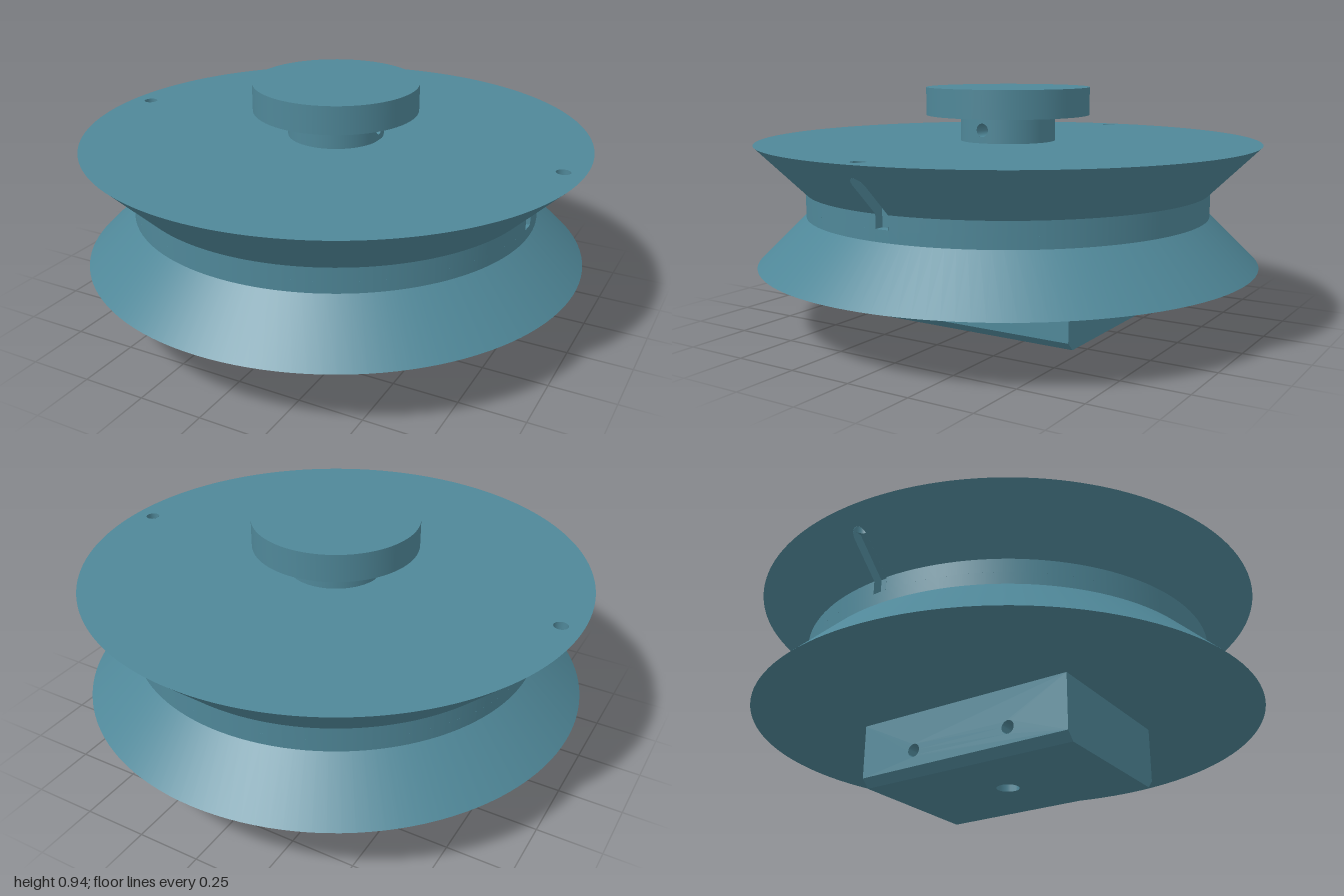
import * as THREE from 'three';
import { toCreasedNormals } from 'three/addons/utils/BufferGeometryUtils.js';

const steel = new THREE.MeshStandardMaterial({ color: 0x4f8798, side: THREE.DoubleSide });
steel.name = 'blue grey metal';

const V2 = (x, y) => new THREE.Vector2(x, y);
const polygon = (pts) => new THREE.Shape(pts.map(([x, y]) => V2(x, y)));
const hole = (x, y, r) => new THREE.Path().absarc(x, y, r, 0, Math.PI * 2, true);

function add(parent, name, geometry, x = 0, y = 0, z = 0) {
  const mesh = new THREE.Mesh(geometry, steel);
  mesh.name = name;
  mesh.position.set(x, y, z);
  parent.add(mesh);
  return mesh;
}

// Round wall between two (radius, height) points, with optional gaps at +x and -x
function wall(parent, name, a, b, gap = 0) {
  const pts = [V2(...a), V2(...b)];
  if (!gap) return add(parent, name, new THREE.LatheGeometry(pts, 128));
  for (const start of [-Math.PI / 2, Math.PI / 2]) {
    add(parent, name, new THREE.LatheGeometry(pts, 64, start + gap, Math.PI - 2 * gap));
  }
}

// Flat outline wrapped onto a round surface facing +x
function patch(shape, radiusAt, slope) {
  const g = new THREE.ShapeGeometry(shape, 24);
  const p = g.attributes.position, n = g.attributes.normal;
  for (let i = 0; i < p.count; i++) {
    const u = p.getX(i), y = p.getY(i), r = radiusAt(y);
    const x = Math.sqrt(r * r - u * u), k = Math.hypot(1, slope);
    p.setXYZ(i, x, y, -u);
    n.setXYZ(i, x / r / k, -slope / k, -u / r / k);
  }
  return g;
}

// Faceted strip following an x/y path, spanning z from -half to half
function strip(path, half) {
  const v = [];
  for (let i = 0; i + 1 < path.length; i++) {
    const [a, b] = [path[i], path[i + 1]];
    v.push(...a, half, ...a, -half, ...b, -half, ...a, half, ...b, -half, ...b, half);
  }
  const g = new THREE.BufferGeometry();
  g.setAttribute('position', new THREE.Float32BufferAttribute(v, 3));
  g.computeVertexNormals();
  return g;
}

// Blind hole opening at y = 0 and running down
function pit(r, depth) {
  const pts = [V2(r, 0), V2(r, -depth), V2(0.0001, -depth)];
  return toCreasedNormals(new THREE.LatheGeometry(pts, 32), 0.6);
}

export function createModel() {
  const model = new THREE.Group();
  model.name = 'groovedPulley';
  const R = 0.0275, HX = 0.92, GROOVE = 0.807;
  const LOW = 0.25, G0 = 0.44, S0 = 0.485, G1 = 0.537, TOP = 0.727;

  // Pulley: two conical flanges around a straight groove
  const gap = Math.asin(R / GROOVE);
  const coneR = (y) => GROOVE + (y - G1) * (1 - GROOVE) / (TOP - G1);
  const coneY = (r) => G1 + (r - GROOVE) * (TOP - G1) / (1 - GROOVE);
  const pulley = new THREE.Group();
  pulley.name = 'pulley';
  model.add(pulley);
  wall(pulley, 'lowerFlange', [1, LOW], [GROOVE, G0]);
  wall(pulley, 'grooveLower', [GROOVE, G0], [GROOVE, S0]);
  wall(pulley, 'grooveUpper', [GROOVE, S0], [GROOVE, G1], gap);
  wall(pulley, 'upperFlange', [GROOVE, G1], [1, TOP], gap);

  const disc = new THREE.Shape().absarc(0, 0, 1, 0, Math.PI * 2, false);
  disc.holes.push(hole(HX, 0, R), hole(-HX, 0, R));
  add(pulley, 'topFace', new THREE.ShapeGeometry(disc, 128).rotateX(-Math.PI / 2), 0, TOP, 0);
  add(pulley, 'bottomFace', new THREE.CircleGeometry(1, 128).rotateX(Math.PI / 2), 0, LOW, 0);

  // Cord slots and their vertical holes, on both sides
  const arcY = coneY(HX), ceiling = 0.682;
  for (const side of [0, 1]) {
    const slot = new THREE.Group();
    slot.name = side ? 'rightCordSlot' : 'leftCordSlot';
    slot.rotation.y = side * Math.PI;
    pulley.add(slot);

    const edge = Math.sin(gap);
    const surround = polygon([[R, G1], [edge, TOP], [-edge, TOP], [-R, G1], [-R, arcY]]);
    surround.absarc(0, arcY, R, Math.PI, 0, true);
    add(slot, 'slotSurround', patch(surround, coneR, (1 - GROOVE) / (TOP - G1)));

    add(slot, 'slotBack', strip([[GROOVE, S0], [0.77, S0], [0.77, 0.56], [HX - R, ceiling]], R));
    const cheek = polygon([[GROOVE, S0], [GROOVE, G1], [HX, arcY], [HX, ceiling],
      [HX - R, ceiling], [0.77, 0.56], [0.77, S0]]);
    for (const z of [-R, R]) add(slot, 'slotCheek', new THREE.ShapeGeometry(cheek), 0, 0, z);

    const tube = new THREE.CylinderGeometry(R, R, 1, 32, 1, true);
    const p = tube.attributes.position;
    for (let i = 0; i < p.count; i++) {
      const x = p.getX(i) + HX;
      const low = x >= HX - 0.001 ? coneY(x) : ceiling;
      p.setXYZ(i, x, p.getY(i) > 0 ? TOP : low, p.getZ(i));
    }
    add(slot, 'cordHole', tube);
  }

  // Neck with a cross hole running along x
  const NR = 0.19, N1 = 0.83, holeY = 0.778, neckGap = 0.16;
  const neck = new THREE.Group();
  neck.name = 'neck';
  model.add(neck);
  wall(neck, 'neckWall', [NR, TOP], [NR, N1], neckGap);
  const w = NR * Math.sin(neckGap);
  const frame = polygon([[-w, TOP], [w, TOP], [w, N1], [-w, N1]]);
  frame.holes.push(hole(0, holeY, 0.026));
  for (const side of [0, 1]) {
    add(neck, 'holeSurround', patch(frame, () => NR, 0)).rotation.y = side * Math.PI;
  }
  const bore = new THREE.CylinderGeometry(0.026, 0.026, 2 * NR - 0.003, 32, 1, true);
  add(neck, 'crossHole', bore.rotateZ(Math.PI / 2), 0, holeY, 0);

  // Round knob on top
  add(model, 'knob', new THREE.CylinderGeometry(0.327, 0.327, 0.11, 96), 0, N1 + 0.055, 0);

  // Mounting block with chamfered lower edges and blind holes
  const BX = 0.325, BZ = 0.46, C = 0.033, pinY = 0.098, pinZ = 0.213, pinR = 0.026;
  const block = new THREE.Group();
  block.name = 'mountingBlock';
  model.add(block);
  const end = polygon([[-BX + C, 0], [BX - C, 0], [BX, C], [BX, LOW], [-BX, LOW], [-BX, C]]);
  const flank = polygon([[-BZ, C], [BZ, C], [BZ, LOW], [-BZ, LOW]]);
  flank.holes.push(hole(-pinZ, pinY, pinR), hole(pinZ, pinY, pinR));
  for (const side of [0, 1]) {
    const half = new THREE.Group();
    half.name = side ? 'blockRightHalf' : 'blockLeftHalf';
    half.rotation.y = side * Math.PI;
    block.add(half);
    add(half, 'blockEnd', new THREE.ShapeGeometry(end), 0, 0, BZ);
    add(half, 'blockFlank', new THREE.ShapeGeometry(flank, 24).rotateY(Math.PI / 2), BX, 0, 0);
    add(half, 'blockChamfer', strip([[BX - C, 0], [BX, C]], BZ));
    for (const z of [-pinZ, pinZ]) {
      add(half, 'pinHole', pit(pinR, 0.12).rotateZ(-Math.PI / 2), BX, pinY, z);
    }
  }
  const base = polygon([[-BX + C, -BZ], [BX - C, -BZ], [BX - C, BZ], [-BX + C, BZ]]);
  base.holes.push(hole(0, 0, 0.045));
  add(block, 'blockBase', new THREE.ShapeGeometry(base, 24).rotateX(Math.PI / 2));
  add(block, 'centreHole', pit(0.045, 0.2).rotateX(Math.PI));

  return model;
}
